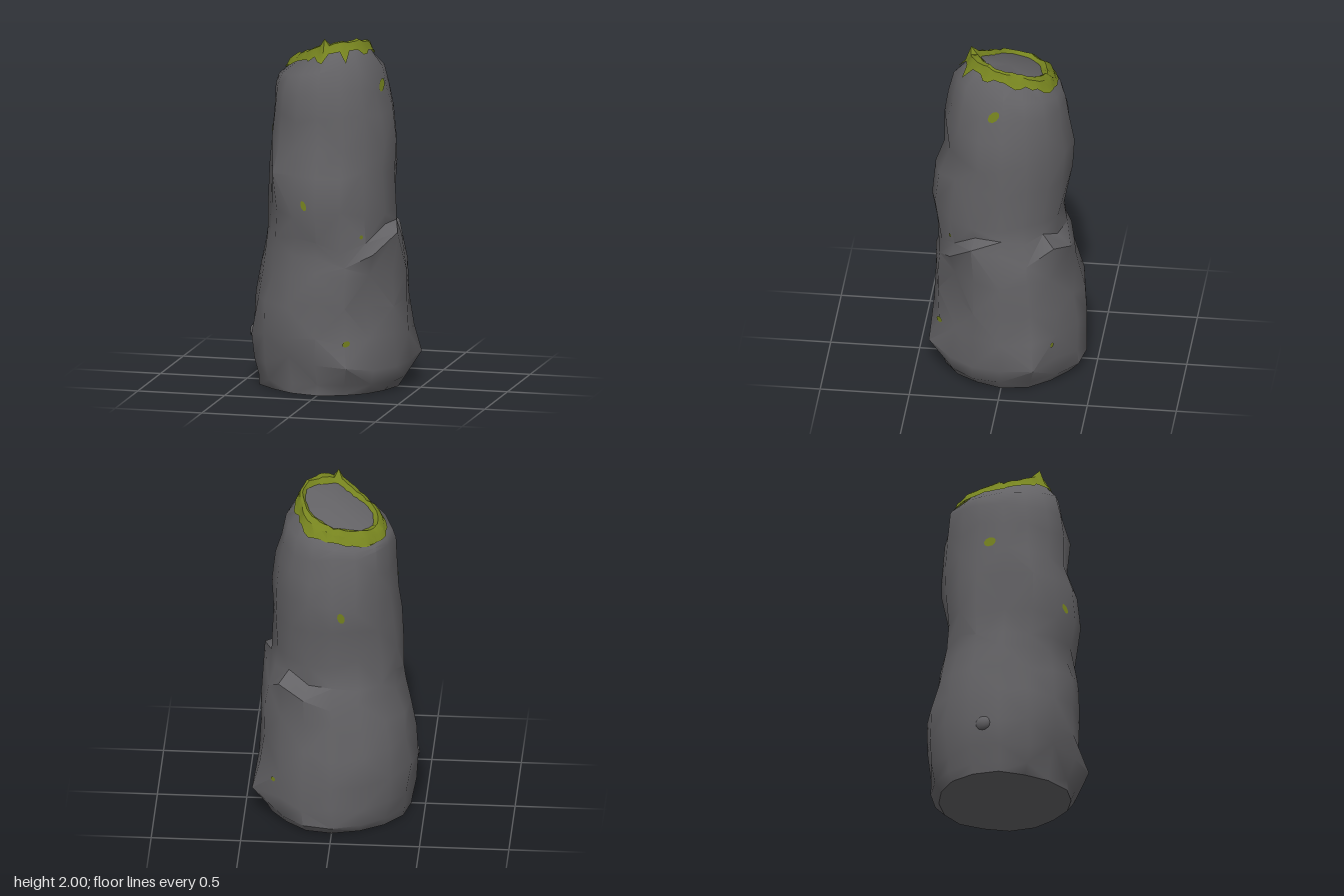
import * as THREE from 'three';
import { toCreasedNormals } from 'three/addons/utils/BufferGeometryUtils.js';

const rockMat = new THREE.MeshStandardMaterial({ color: 0x636265 });
rockMat.name = 'grey rock';
const mossMat = new THREE.MeshStandardMaterial({ color: 0x76831f, side: THREE.DoubleSide });
mossMat.name = 'green moss';

const COLS = 16;
// Radii every 22.5 degrees, from +x round through +z
const INNER = [.17, .165, .145, .135, .15, .125, .125, .155, .2, .225, .21, .185, .185, .17, .175, .17];
const OUTER = [.22, .215, .22, .235, .23, .205, .2, .22, .275, .315, .31, .285, .275, .275, .255, .215];
// Pillar sections: y, left, right, back, front
const SECTIONS = [
  [0, -.42, .37, -.38, .38], [.06, -.43, .41, -.44, .4], [.17, -.45, .44, -.44, .43],
  [.32, -.46, .43, -.44, .42], [.5, -.45, .42, -.43, .41], [.68, -.42, .42, -.38, .41],
  [.79, -.39, .39, -.37, .38], [.89, -.38, .37, -.33, .40], [1.03, -.38, .36, -.31, .43],
  [1.24, -.37, .35, -.36, .41], [1.4, -.35, .36, -.37, .36], [1.56, -.34, .34, -.34, .36],
  [1.7, -.335, .305, -.32, .34],
];
// Dents and bulges: column, section, push outwards, lift
const PUSHES = [
  [15, 2, .05, 0], [15, 3, .02, 0], [14, 2, -.02, 0], [14, 3, -.01, 0],
  [2, 3, -.04, 0], [2, 4, -.06, 0], [2, 5, -.03, 0], [3, 2, .03, 0], [3, 4, 0, 0],
  [5, 1, -.03, 0], [5, 2, -.02, .05], [4, 1, -.02, 0], [5, 3, .01, 0],
  [3, 6, .02, -.06], [3, 7, -.01, -.08], [2, 6, .04, .01], [2, 7, -.01, -.03],
  [1, 6, .055, .12], [1, 7, -.01, .06], [0, 6, 0, .08], [0, 7, -.01, .06],
  [14, 6, .04, .1], [14, 7, -.02, .06], [13, 7, -.02, 0], [13, 6, .03, .04],
  [7, 7, -.03, 0], [7, 8, -.04, 0], [7, 9, -.03, 0], [6, 9, .02, 0],
  [3, 10, -.02, 0], [13, 9, -.02, 0],
];

function seeded(seed) {
  let s = seed;
  return () => (s = (s * 16807) % 2147483647) / 2147483647;
}
const topHeight = (x, z) => 1.907 + .27 * x + .27 * z;
const mix = (a, b, f) => a * (1 - f) + b * f;
const mixPoint = (p, q, f) => p.map((v, i) => mix(v, q[i], f));
const sample = (table, t) => mix(table[Math.floor(t)], table[(Math.floor(t) + 1) % COLS], t % 1);
const samplePoint = (ring, t) =>
  mixPoint(ring[Math.floor(t)], ring[(Math.floor(t) + 1) % COLS], t % 1);
const polar = (r, column) => {
  const a = column / COLS * Math.PI * 2;
  return [r * Math.cos(a), r * Math.sin(a)];
};
// Point on the sloping top, dropped or raised by dy
const onTop = (r, column, dy) => {
  const [x, z] = polar(r, column);
  return [x, topHeight(x, z) + dy, z];
};

// Skin closed rings of points, listed from bottom to top
function loft(rings, crease) {
  const n = rings[0].length, index = [];
  for (let i = 0; i < rings.length - 1; i++) {
    for (let j = 0; j < n; j++) {
      const a = i * n + j, b = i * n + (j + 1) % n;
      if ((i + j) % 2) index.push(a, a + n, b, b, a + n, b + n);
      else index.push(a, a + n, b + n, a, b + n, b);
    }
  }
  const g = new THREE.BufferGeometry();
  g.setAttribute('position', new THREE.Float32BufferAttribute(rings.flat(2), 3));
  g.setIndex(index);
  return toCreasedNormals(g, crease);
}

// Pillar rings from the foot to the shoulder, then the bend and rim under the moss
function pillarRings() {
  const rand = seeded(77);
  const cols = [...Array(COLS).keys()];
  const body = SECTIONS.map(([y, left, right, back, front], i) => cols.map(j => {
    const [c, s] = polar(1, j);
    const noise = j % 4 ? .95 + rand() * .07 : 1;
    const wobble = i > 1 ? (rand() - .5) * .06 : 0;
    const push = PUSHES.find(p => p[0] === j && p[1] === i);
    const k = push ? 1 + push[2] / .4 : noise;
    const lift = push ? push[3] : wobble;
    return [(c > 0 ? right : -left) * c * k, y + lift, (s > 0 ? front : -back) * s * k];
  }));
  const shoulder = body[body.length - 1];
  const rim = cols.map(j => onTop(OUTER[j] * .93, j, -.04));
  const bend = cols.map(j => {
    const [x, , z] = mixPoint(shoulder[j], rim[j], .25);
    return [x, mix(shoulder[j][1], rim[j][1], .55), z];
  });
  return { body, bend, rim };
}

function rockGeometry({ body, bend, rim }) {
  const foot = body[0].map(([x, , z]) => [x * .002, 0, z * .002]);
  const top = scale => INNER.map((r, j) => onTop(r * scale, j, -.012));
  return loft([foot, ...body, bend, rim, top(1.1), top(.005)], .75);
}

// Ragged moss collar that clings to the rim, with drips running down the rock
function mossGeometry({ bend, rim }) {
  const rand = seeded(2024);
  const rings = [[], [], [], [], []];
  const bigDrips = { 8: .75, 12: .6, 21: .45, 40: .5 };
  for (let j = 0; j < 48; j++) {
    const t = j / 3;
    const ri = sample(INNER, t), ro = sample(OUTER, t);
    const run = bigDrips[j] ?? .15 + rand() ** 2 * .3;
    const lump = (rand() - .5) * .014;
    const under = samplePoint(rim, t);
    const [ox, oz] = polar(.012, t);
    const cling = f => {
      const p = mixPoint(under, samplePoint(bend, t), f);
      return [p[0] + ox, p[1] + .004, p[2] + oz];
    };
    rings[0].push(cling(run));
    rings[1].push(cling(run * .3));
    rings[2].push(onTop(ro * .85 + ri * .1, t, -.004 + lump));
    rings[3].push(onTop(ro * .35 + ri * .65, t, .008 + lump));
    rings[4].push(onTop(ri * (.98 + rand() * .06), t, -.014));
  }
  // Front peak
  rings[2][12][1] = 2;
  return loft(rings, .7);
}

export function createModel() {
  const model = new THREE.Group();
  model.name = 'mossyPillar';
  const add = (name, geometry, material) => {
    const mesh = new THREE.Mesh(geometry, material);
    mesh.name = name;
    model.add(mesh);
    return mesh;
  };
  const pillar = pillarRings();
  const rock = add('rockPillar', rockGeometry(pillar), rockMat);
  add('mossCollar', mossGeometry(pillar), mossMat);

  // Pebble stuck on the side near the foot
  const pebble = add('pebble', new THREE.IcosahedronGeometry(.04, 1), rockMat);
  pebble.scale.set(.7, 1.1, 1.2);
  pebble.position.set(-.435, .29, .07);

  // Small moss patches laid on the rock: angle in degrees, height, width, length, turn
  const patches = [
    [169, 1.45, .07, .055, .3], [100, 1.08, .035, .06, .5], [66, .3, .05, .035, .2],
    [10, 1.72, .05, .085, -.7], [52, .9, .02, .025, 0], [320, .28, .03, .03, 0],
    [262, 1.36, .04, .07, .3],
  ];
  const ray = new THREE.Raycaster();
  rock.updateMatrixWorld();
  for (const [degrees, y, width, length, turn] of patches) {
    const a = degrees * Math.PI / 180;
    const out = new THREE.Vector3(Math.cos(a), 0, Math.sin(a));
    ray.set(out.clone().multiplyScalar(2).setY(y), out.clone().negate());
    const hit = ray.intersectObject(rock)[0];
    const patch = add('mossPatch', new THREE.CircleGeometry(.5, 9), mossMat);
    patch.position.copy(hit.point).addScaledVector(hit.face.normal, .005);
    patch.lookAt(patch.position.clone().add(hit.face.normal));
    patch.rotateZ(turn);
    patch.scale.set(width, length, 1);
  }
  return model;
}
